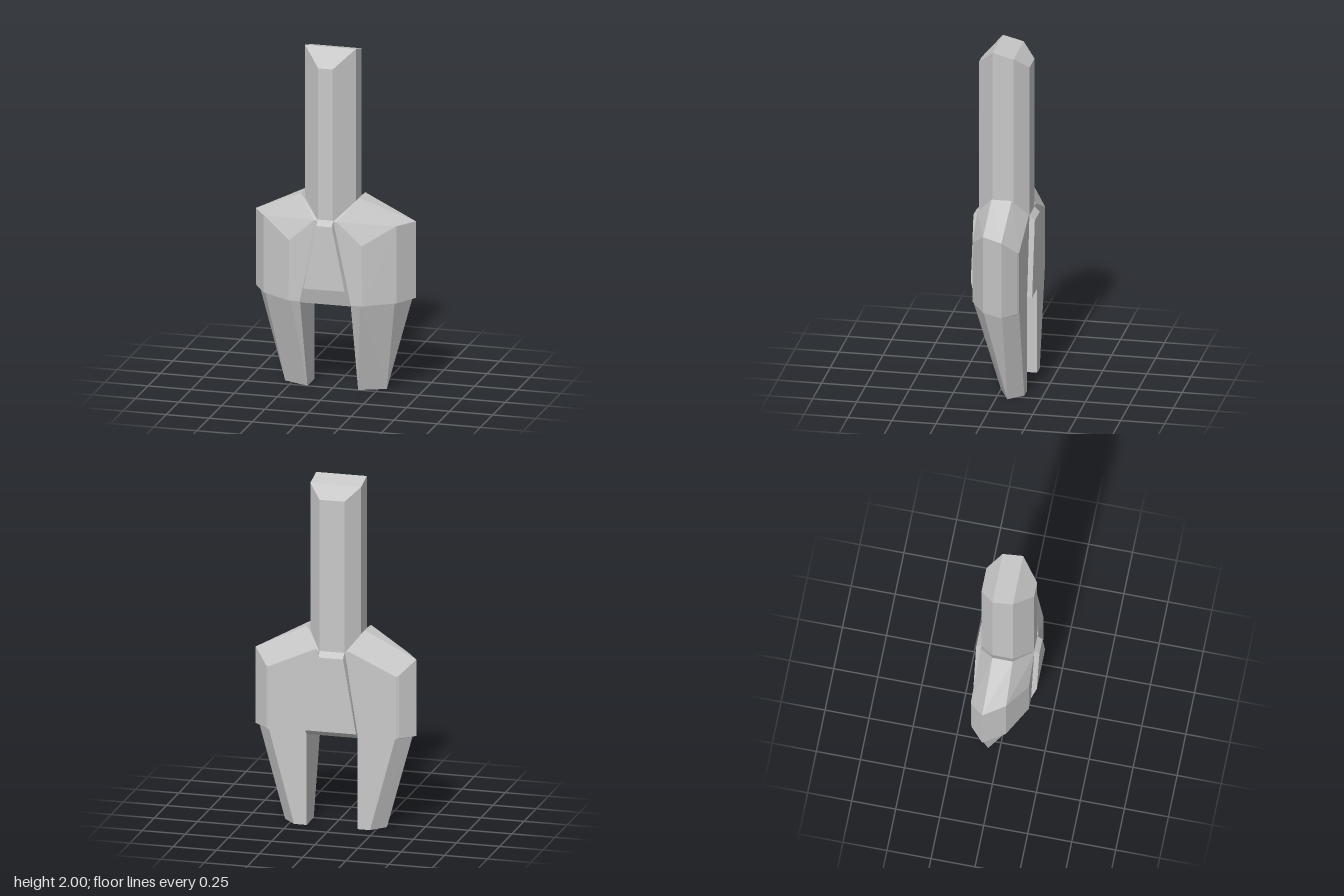
import * as THREE from 'three';
import { ConvexGeometry } from 'three/addons/geometries/ConvexGeometry.js';

export function createModel() {
  const model = new THREE.Group();
  model.name = 'prongedPost';
  const stone = new THREE.MeshStandardMaterial({ color: 0xc8c8c8 });
  stone.name = 'stoneGrey';

  // faceted solid spanning a few corner points
  const solid = (name, corners) => {
    const mesh = new THREE.Mesh(
      new ConvexGeometry(corners.map((c) => new THREE.Vector3(...c))), stone);
    mesh.name = name;
    model.add(mesh);
  };
  const mirrored = (corners) => corners.flatMap(([x, y, z]) => [[x, y, z], [-x, y, z]]);

  // post: eight-sided column with a bevelled, sloping top
  const postSection = [[0.042, 1.9, 0.147], [0.147, 2, 0.047], [0.147, 1.97, -0.07], [0.072, 1.9, -0.147]];
  solid('post', mirrored([...postSection, ...postSection.map(([x, , z]) => [x, 0.95, z])]));

  // core: tapered wedge standing proud between the shoulders
  solid('core', mirrored([
    [0.045, 1.02, 0.147], [0.045, 0.99, 0.177], [0.12, 0.62, 0.177], [0.147, 0.53, 0.15],
    [0.072, 1.02, -0.147], [0.072, 0.99, -0.177], [0.147, 0.56, -0.177], [0.147, 0.53, -0.147],
  ]));

  const shoulder = [
    // peak beside the post
    [0.17, 1.135, 0.05], [0.17, 1.135, -0.065], [0.147, 1.115, 0.046], [0.147, 1.115, -0.068],
    // front face
    [0.045, 1.015, 0.148], [0.065, 1.015, 0.15], [0.21, 0.885, 0.15], [0.147, 0.535, 0.15], [0.213, 0.535, 0.15],
    // outer side
    [0.385, 0.99, 0.055], [0.465, 0.99, -0.065], [0.385, 0.91, -0.14],
    [0.385, 0.54, 0.055], [0.465, 0.545, -0.065], [0.385, 0.545, -0.14],
    // back face
    [0.075, 1.02, -0.147], [0.095, 1.03, -0.148], [0.37, 0.905, -0.148], [0.37, 0.54, -0.148], [0.147, 0.535, -0.148],
  ];

  const leg = [
    // top, tucked against the shoulder
    [0.147, 0.54, 0.15], [0.2, 0.54, 0.15], [0.375, 0.54, 0.055],
    [0.443, 0.54, -0.065], [0.365, 0.54, -0.147], [0.147, 0.54, -0.147],
    // foot
    [0.147, 0, 0], [0.295, 0, -0.065], [0.22, 0, -0.147], [0.147, 0, -0.147],
  ];

  for (const [side, s] of [['left', 1], ['right', -1]]) {
    const flip = (corners) => corners.map(([x, y, z]) => [s * x, y, z]);
    solid(side + 'Shoulder', flip(shoulder));
    solid(side + 'Leg', flip(leg));
  }
  return model;
}
